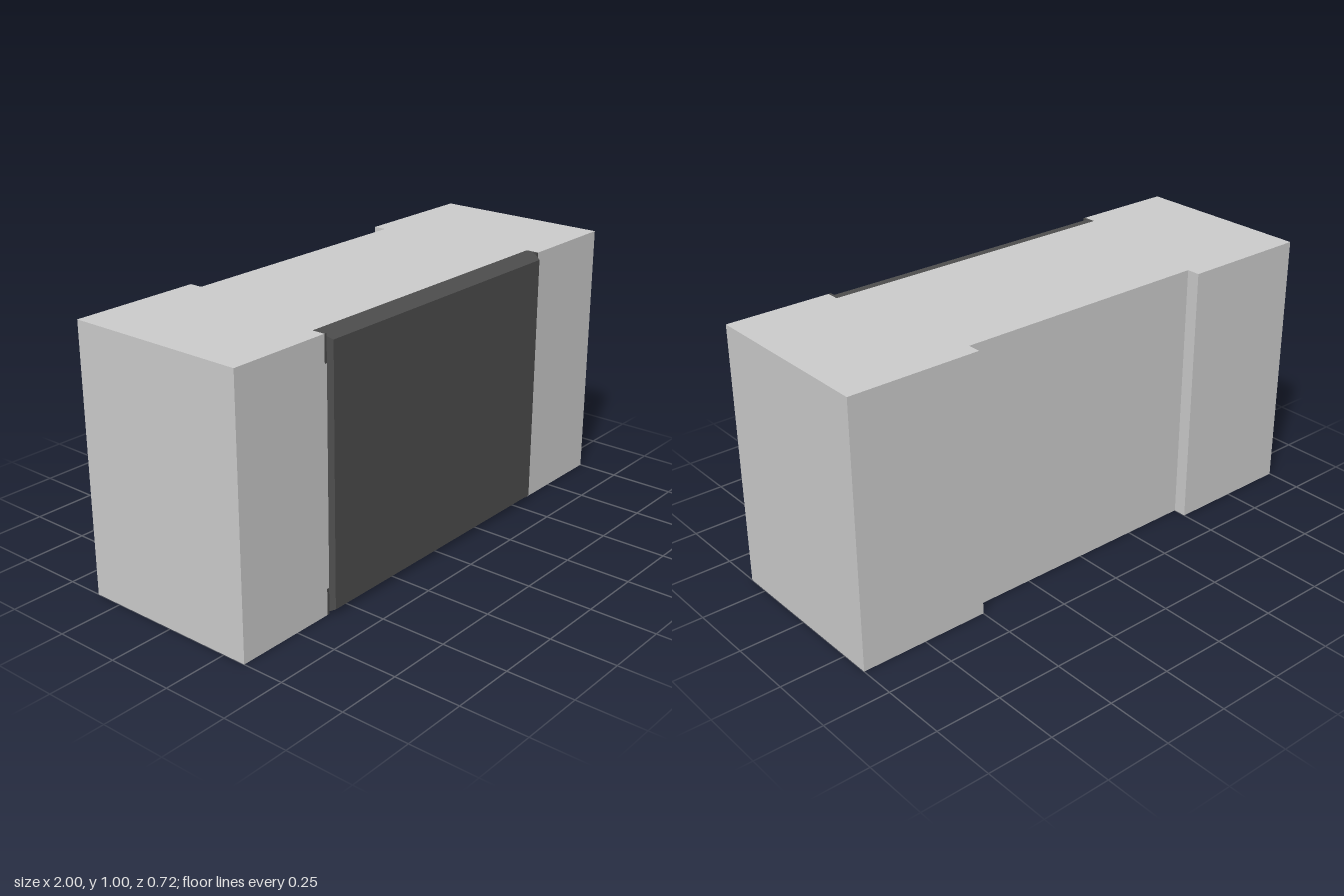
import * as THREE from 'three';

const grey = new THREE.MeshStandardMaterial({ color: 0xcccccc });
const dark = new THREE.MeshStandardMaterial({ color: 0x4d4d4d });

function addMesh(group, name, geometry, material) {
  const mesh = new THREE.Mesh(geometry, material);
  mesh.name = name;
  group.add(mesh);
  return mesh;
}

// Block outline in plan: shallow channel at the back, recess for the panel at the front
function bodyGeometry() {
  const half = [[0.5, -0.31], [0.5, -0.36], [1, -0.36], [1, 0.34], [0.6, 0.34], [0.6, 0.29]];
  const outline = [...half, ...half.map(([x, z]) => [-x, z]).reverse()];
  const shape = new THREE.Shape(outline.map(([x, z]) => new THREE.Vector2(x, -z)));
  return new THREE.ExtrudeGeometry(shape, { depth: 1, bevelEnabled: false }).rotateX(-Math.PI / 2);
}

// Slab whose front half tapers to a slightly smaller face
function panelGeometry() {
  const geometry = new THREE.BoxGeometry(1.2, 1, 2, 1, 1, 2);
  const p = geometry.attributes.position;
  const depths = [0.29, 0.32, 0.36];
  for (let i = 0; i < p.count; i++) {
    const layer = Math.round(p.getZ(i)) + 1;
    const inset = layer === 2 ? 0.02 : 0;
    const x = p.getX(i), y = p.getY(i);
    p.setXYZ(i, x - Math.sign(x) * inset, y - Math.sign(y) * inset + 0.5, depths[layer]);
  }
  const flat = geometry.toNonIndexed();
  flat.computeVertexNormals();
  return flat;
}

export function createModel() {
  const model = new THREE.Group();
  model.name = 'block';
  addMesh(model, 'body', bodyGeometry(), grey);
  addMesh(model, 'frontPanel', panelGeometry(), dark);

  for (const side of [-1, 1]) {
    const label = side > 0 ? 'left' : 'right';
    // Grey lip holding the middle of the panel edge
    addMesh(model, label + 'Lip', new THREE.BoxGeometry(0.01, 0.8, 0.05), grey)
      .position.set(side * 0.595, 0.5, 0.315);
    // Dark tabs at the panel corners
    for (const y of [0.05, 0.95]) {
      addMesh(model, label + (y > 0.5 ? 'Upper' : 'Lower') + 'Tab', new THREE.BoxGeometry(0.01, 0.1, 0.05), dark)
        .position.set(side * 0.595, y, 0.315);
    }
  }
  return model;
}
